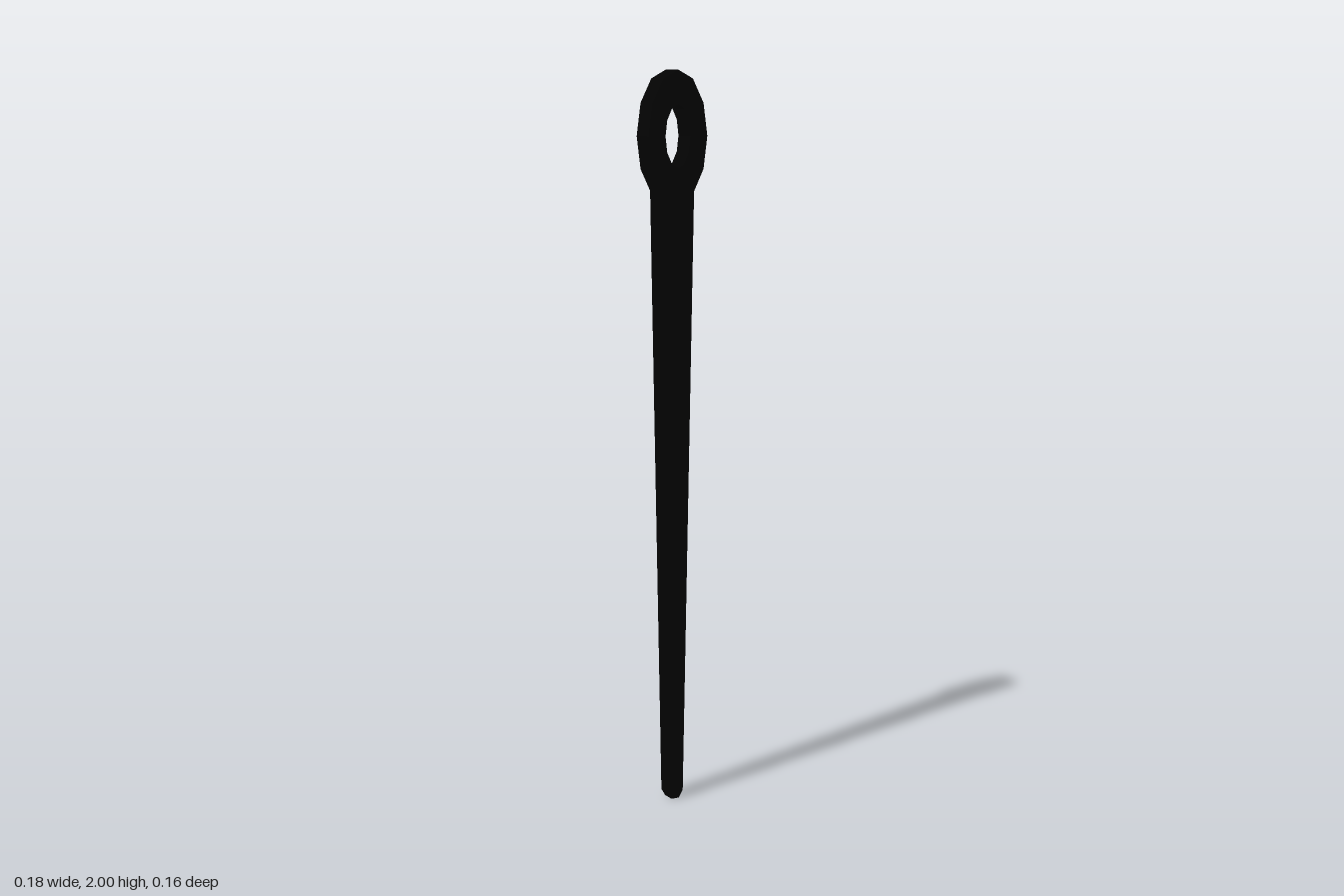
import * as THREE from 'three';

// Points of an upright 12-sided ellipse, one corner at the top, counter-clockwise
function ellipsePoints(halfWidth, halfHeight) {
  return Array.from({ length: 12 }, (_, i) => {
    const a = (i * Math.PI) / 6;
    return new THREE.Vector2(-halfWidth * Math.sin(a), halfHeight * Math.cos(a));
  });
}

export function createModel() {
  const material = new THREE.MeshStandardMaterial({ color: 0x030303, flatShading: true });

  // Tapering shaft, flat sided with a faint ridge on front and back, chamfered at the tip
  const sections = [
    { y: 1.68, width: 0.047, side: 0.037, ridge: 0.04 },
    { y: 0.02, width: 0.024, side: 0.018, ridge: 0.02 },
    { y: 0, width: 0.012, side: 0.018, ridge: 0.02 },
  ];
  const shaftGeometry = new THREE.BoxGeometry(2, 2, 2, 2, 2, 1);
  const shaftPoints = shaftGeometry.attributes.position;
  for (let i = 0; i < shaftPoints.count; i++) {
    const across = shaftPoints.getX(i);
    const s = sections[1 - Math.round(shaftPoints.getY(i))];
    const depth = across === 0 ? s.ridge : s.side;
    shaftPoints.setXYZ(i, across * s.width, s.y, shaftPoints.getZ(i) * depth);
  }
  shaftGeometry.computeVertexNormals();
  const shaft = new THREE.Mesh(shaftGeometry, material);
  shaft.name = 'shaft';

  // Flat oval eye with an oval hole
  const halfWidth = 0.088;
  const outline = new THREE.Shape(ellipsePoints(halfWidth, 0.175));
  outline.holes.push(new THREE.Path(ellipsePoints(0.038, 0.084)));
  const eyeGeometry = new THREE.ExtrudeGeometry(outline, { depth: 0.07, bevelEnabled: false });
  eyeGeometry.translate(0, 0, -0.035);

  // Thicken the foot of the eye towards the ridge of the shaft
  const eyePoints = eyeGeometry.attributes.position;
  for (let i = 0; i < eyePoints.count; i++) {
    if (eyePoints.getY(i) > -0.08) continue;
    const depth = 0.035 + 0.005 * (1 - Math.abs(eyePoints.getX(i)) / halfWidth);
    eyePoints.setZ(i, Math.sign(eyePoints.getZ(i)) * depth);
  }
  eyeGeometry.computeVertexNormals();
  const eye = new THREE.Mesh(eyeGeometry, material);
  eye.name = 'eye';
  eye.position.y = 1.825;

  // The needle stands turned about its own axis
  const needle = new THREE.Group();
  needle.name = 'needle';
  needle.rotation.y = THREE.MathUtils.degToRad(35);
  needle.add(shaft, eye);

  const model = new THREE.Group();
  model.add(needle);
  return model;
}
